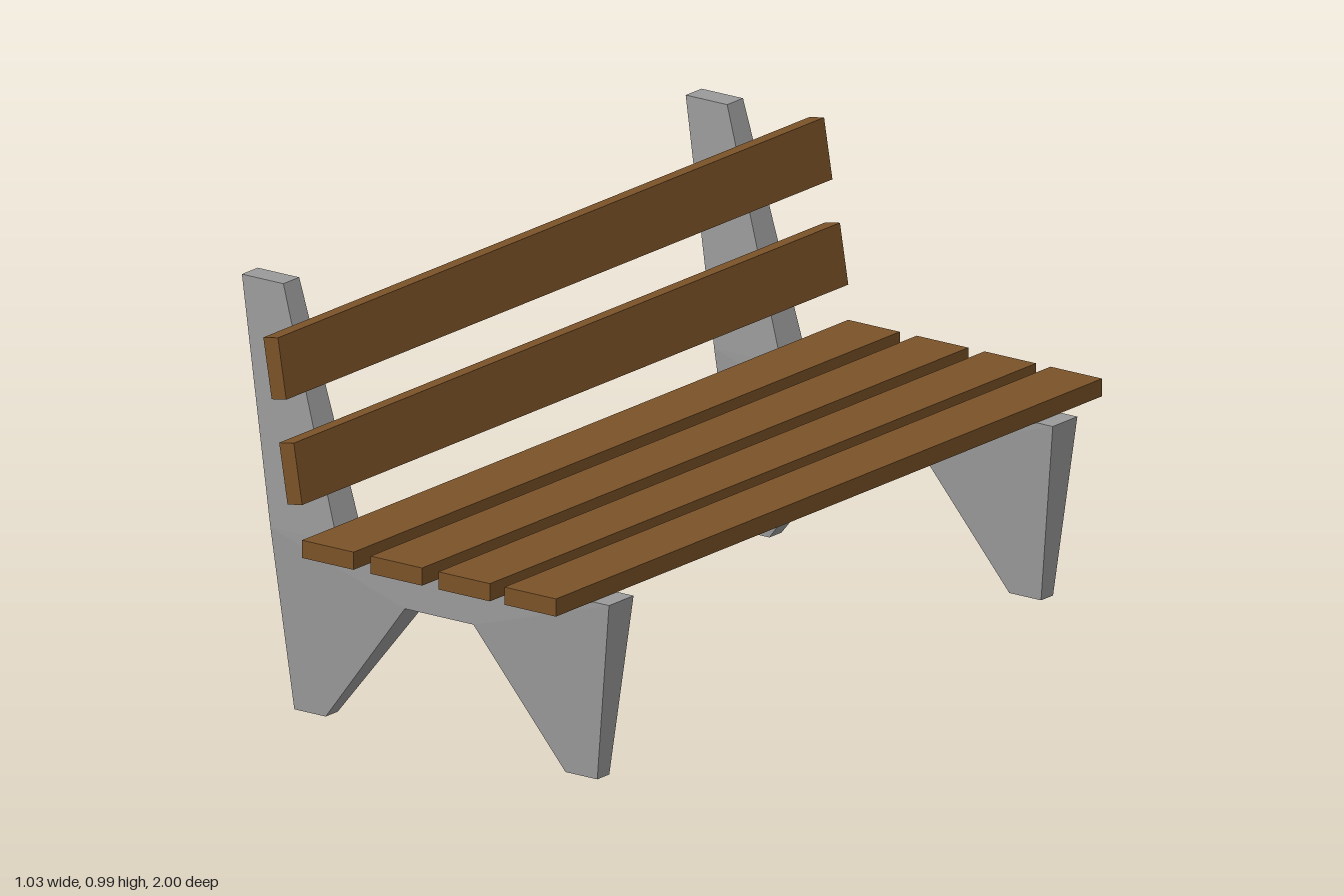
import * as THREE from 'three';

const stone = new THREE.MeshStandardMaterial({ color: 0x9a9a9a, flatShading: true });
const wood = new THREE.MeshStandardMaterial({ color: 0x7a5228, flatShading: true });

// Side outline of one support, counter-clockwise: [x, y, half thickness]
const outline = [
  [-0.375, 0, 0.022], [-0.288, 0, 0.022], [-0.051, 0.302, 0.045], [0.139, 0.302, 0.045],
  [0.377, 0, 0.022], [0.465, 0, 0.022], [0.515, 0.419, 0.045], [-0.238, 0.419, 0.045],
  [-0.4, 0.985, 0.029], [-0.515, 0.985, 0.029], [-0.424, 0.419, 0.045],
];
// Back leg, seat beam, front leg and back post as quads of the outline
const quads = [[0, 1, 2, 10], [2, 3, 6, 7], [3, 4, 5, 6], [10, 7, 8, 9]];

function supportGeometry() {
  const n = outline.length;
  const positions = [];
  for (const side of [1, -1]) {
    for (const [x, y, half] of outline) positions.push(x, y, side * half);
  }
  const index = [];
  const cap = (a, b, c) => index.push(a, b, c, n + a, n + c, n + b);
  for (const [a, b, c, d] of quads) {
    cap(a, b, d);
    cap(b, c, d);
  }
  cap(2, 7, 10);
  // Rim joining both faces
  for (let i = 0; i < n; i++) {
    const j = (i + 1) % n;
    index.push(i, n + i, j, j, n + i, n + j);
  }
  const geometry = new THREE.BufferGeometry();
  geometry.setAttribute('position', new THREE.Float32BufferAttribute(positions, 3));
  geometry.setIndex(index);
  const flat = geometry.toNonIndexed();
  flat.computeVertexNormals();
  return flat;
}

export function createModel() {
  const bench = new THREE.Group();
  bench.name = 'bench';

  const add = (name, geometry, material, x, y, z, tilt = 0) => {
    const mesh = new THREE.Mesh(geometry, material);
    mesh.name = name;
    mesh.position.set(x, y, z);
    mesh.rotation.z = tilt;
    bench.add(mesh);
  };

  // Tapered end supports
  const support = supportGeometry();
  add('frontSupport', support, stone, 0, 0, 0.818);
  add('rearSupport', support, stone, 0, 0, -0.807);

  // Seat slats
  const seatSlat = new THREE.BoxGeometry(0.143, 0.041, 2);
  [-0.161, 0.029, 0.217, 0.4].forEach((x, i) => add(`seatSlat${i + 1}`, seatSlat, wood, x, 0.4405, 0));

  // Leaning backrest slats
  const backSlat = new THREE.BoxGeometry(0.041, 0.141, 2);
  [[-0.264, 0.609], [-0.308, 0.845]].forEach(([x, y], i) => add(`backSlat${i + 1}`, backSlat, wood, x, y, 0, 0.165));

  return bench;
}
